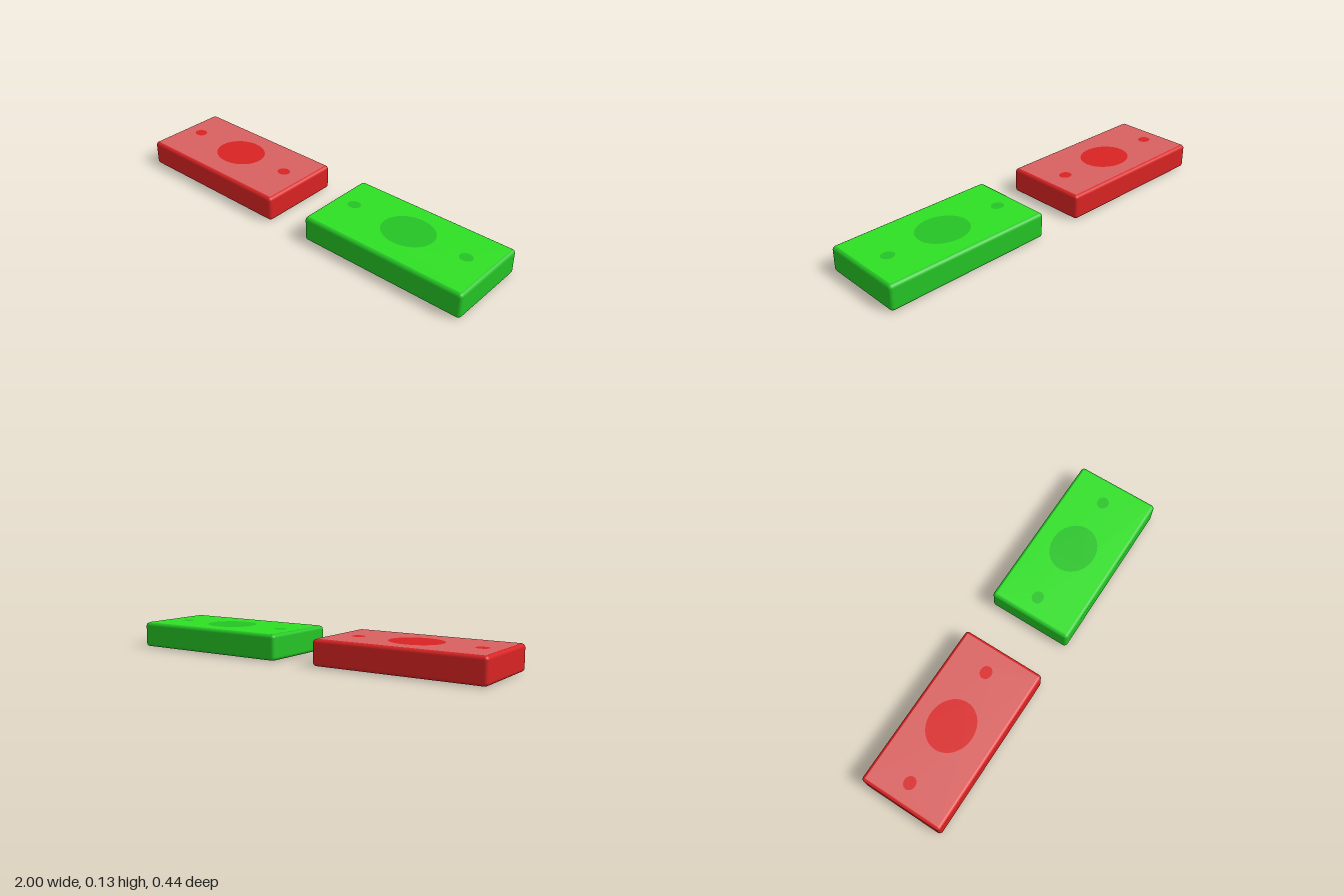
import * as THREE from 'three';
import { RoundedBoxGeometry } from 'three/addons/geometries/RoundedBoxGeometry.js';

const W = 0.886, H = 0.133, D = 0.443, BEVEL = 0.018, SKIN = 0.001;

function material(name, color) {
  const m = new THREE.MeshStandardMaterial({ color });
  m.name = name;
  return m;
}

// Spots on each face: x, z, radius in x, radius in z
const SPOTS = [
  ['centreOval', -0.003, -0.01, 0.137, 0.118],
  ['rightDot', -0.333, -0.018, 0.034, 0.03],
  ['leftDot', 0.308, -0.018, 0.034, 0.03],
];

function flat(shape, side, mat, name, lift) {
  const mesh = new THREE.Mesh(new THREE.ShapeGeometry(shape, 24), mat);
  mesh.name = name;
  mesh.rotation.x = -side * Math.PI / 2;
  mesh.position.y = H / 2 + side * (H / 2 - SKIN + lift);
  return mesh;
}

function createBlock(name, bodyMat, faceMat) {
  const block = new THREE.Group();
  block.name = name;

  // Rounded body
  const body = new THREE.Mesh(new RoundedBoxGeometry(W, H - 2 * SKIN, D, 3, BEVEL), bodyMat);
  body.name = 'body';
  body.position.y = H / 2;
  block.add(body);

  // Printed panel and spots on the top (1) and the bottom (-1)
  for (const side of [1, -1]) {
    const label = side > 0 ? 'top' : 'bottom';
    const w = W / 2 - BEVEL * 0.85, d = D / 2 - BEVEL * 0.85;
    const panel = new THREE.Shape([
      new THREE.Vector2(-w, -d), new THREE.Vector2(w, -d),
      new THREE.Vector2(w, d), new THREE.Vector2(-w, d),
    ]);
    for (const [spot, x, z, rx, rz] of SPOTS) {
      const oval = new THREE.Shape().absellipse(x, -z * side, rx, rz, 0, Math.PI * 2, false, 0);
      panel.holes.push(oval);
      block.add(flat(oval, side, bodyMat, `${label} ${spot}`, SKIN));
    }
    block.add(flat(panel, side, faceMat, `${label} panel`, SKIN));
  }
  return block;
}

export function createModel() {
  const model = new THREE.Group();
  model.name = 'pairOfBlocks';

  const red = createBlock('redBlock', material('red', 0xd92323), material('pale red', 0xd96160));
  red.position.x = -(1 - W / 2);
  const green = createBlock('greenBlock', material('green', 0x25c425), material('bright green', 0x2fe024));
  green.position.x = 1 - W / 2;

  model.add(red, green);
  return model;
}
